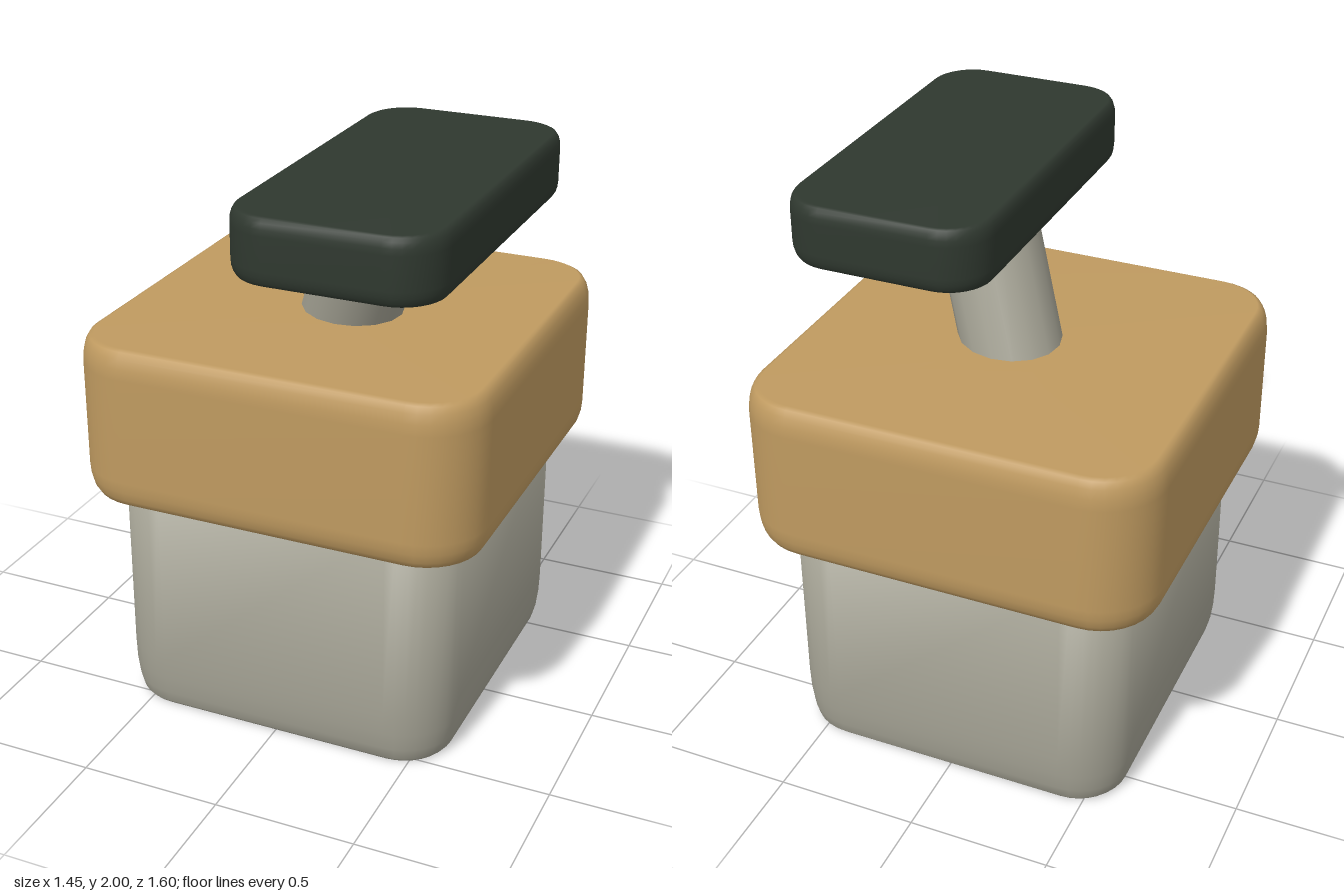
import * as THREE from 'three';

const CORNER_STEPS = 8;

// Outline of a rounded rectangle, counter-clockwise seen from +y
function outline(w, d, r) {
  const pts = [];
  for (let q = 0; q < 4; q++) {
    const sx = q === 0 || q === 3 ? 1 : -1;
    const sz = q < 2 ? -1 : 1;
    for (let i = 0; i <= CORNER_STEPS; i++) {
      const a = (q + i / CORNER_STEPS) * Math.PI / 2;
      pts.push([sx * (w / 2 - r) + Math.cos(a) * r, sz * (d / 2 - r) - Math.sin(a) * r]);
    }
  }
  return pts;
}

// Rounded block lofted through levels of [height, inset]; flatBottom keeps the lower rim sharp
function block(w, d, r, levels, flatBottom) {
  const pos = [], index = [];
  const addRing = ([y, inset]) => {
    const start = pos.length / 3;
    for (const [x, z] of outline(w - 2 * inset, d - 2 * inset, r - inset)) pos.push(x, y, z);
    return start;
  };
  const n = 4 * (CORNER_STEPS + 1);
  const rings = levels.map(addRing);
  for (let k = 0; k + 1 < rings.length; k++) {
    for (let i = 0; i < n; i++) {
      const j = (i + 1) % n;
      const a = rings[k] + i, b = rings[k] + j, c = rings[k + 1] + j, e = rings[k + 1] + i;
      index.push(a, b, c, a, c, e);
    }
  }
  const cap = (start, y, up) => {
    const centre = pos.length / 3;
    pos.push(0, y, 0);
    for (let i = 0; i < n; i++) {
      const a = start + i, b = start + (i + 1) % n;
      index.push(centre, up ? a : b, up ? b : a);
    }
  };
  const last = levels.length - 1;
  cap(flatBottom ? addRing(levels[0]) : rings[0], levels[0][0], false);
  cap(rings[last], levels[last][0], true);
  const g = new THREE.BufferGeometry();
  g.setAttribute('position', new THREE.Float32BufferAttribute(pos, 3));
  g.setIndex(index);
  g.computeVertexNormals();
  return g;
}

// Quarter-ellipse edge levels, from the flat face out to the side wall
function edge(y, inset, height) {
  return [0, 1, 2, 3, 4].map((i) => {
    const a = i / 4 * Math.PI / 2;
    return [y + height * (1 - Math.cos(a)), inset * (1 - Math.sin(a))];
  });
}

export function createModel() {
  const model = new THREE.Group();
  const stone = new THREE.MeshStandardMaterial({ name: 'warm grey', color: 0xa3a193 });
  const tan = new THREE.MeshStandardMaterial({ name: 'tan', color: 0xbf9a60 });
  const dark = new THREE.MeshStandardMaterial({ name: 'dark green', color: 0x2f382f });

  const add = (name, geometry, material, x, y, z) => {
    const mesh = new THREE.Mesh(geometry, material);
    mesh.name = name;
    mesh.position.set(x, y, z);
    model.add(mesh);
    return mesh;
  };

  // Base with a flat foot and softly drawn-in lower edge
  add('base', block(1.24, 1.285, 0.2, [...edge(0, 0.035, 0.2), [0.9, 0]], true),
    stone, 0, 0, -0.0725);

  // Wide collar resting on the base
  add('collar', block(1.45, 1.45, 0.22,
    [...edge(0.83, 0.04, 0.1), ...edge(-1.41, 0.04, 0.1).reverse().map(([y, s]) => [-y, s])]),
  tan, 0, 0, -0.075);

  // Leaning stem
  const from = new THREE.Vector3(0.0, 1.3, -0.08);
  const to = new THREE.Vector3(0.215, 1.88, 0.095);
  const axis = to.clone().sub(from);
  const mid = from.clone().add(to).multiplyScalar(0.5);
  const stem = add('stem', new THREE.CylinderGeometry(0.175, 0.175, axis.length(), 16),
    stone, mid.x, mid.y, mid.z);
  stem.quaternion.setFromUnitVectors(new THREE.Vector3(0, 1, 0), axis.normalize());

  // Offset slab on top
  add('topSlab', block(0.705, 1.33, 0.16,
    [...edge(1.78, 0.025, 0.055), ...edge(-2, 0.025, 0.055).reverse().map(([y, s]) => [-y, s])]),
  dark, 0.2975, 0, 0.137);

  return model;
}
